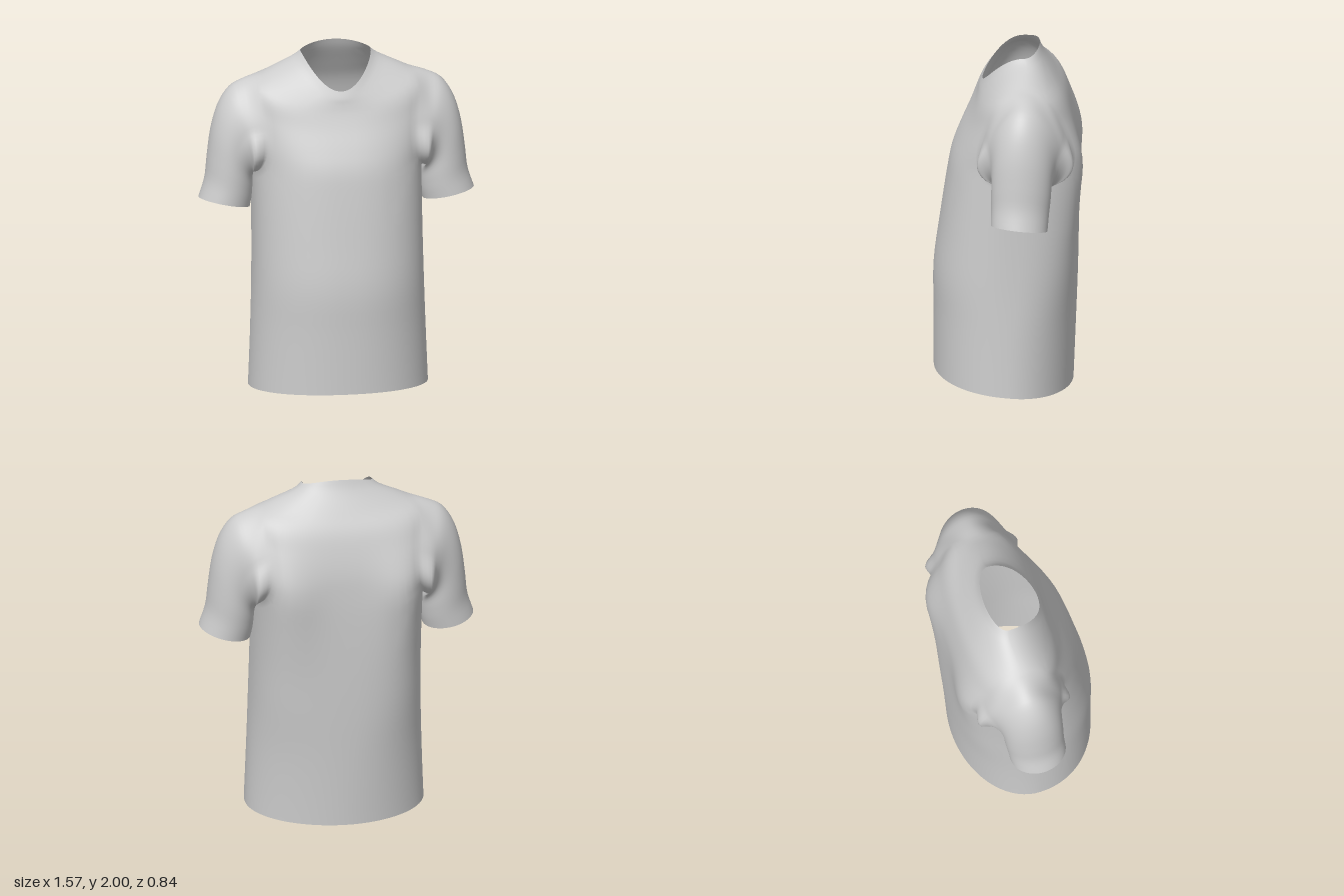
import * as THREE from 'three';

const COLS = 72, ROWS = 44, PER = 4;          // torso grid, rows per profile ring
const HALF = 8, LOW = 18, HIGH = 35;          // armhole: half width in columns, row range
const STEPS = 24;                             // rings along each sleeve

// torso rings, hem to neck: half width, centre z, front z, back z, y at front, side, back
const RINGS = [
  [0.51, 0, 0.42, -0.37, 0.08, 0.04, 0],
  [0.495, 0, 0.42, -0.385, 0.42, 0.40, 0.38],
  [0.485, 0, 0.42, -0.395, 0.68, 0.67, 0.66],
  [0.48, -0.02, 0.385, -0.40, 0.95, 0.95, 0.95],
  [0.48, -0.05, 0.345, -0.40, 1.22, 1.21, 1.22],
  [0.485, -0.07, 0.318, -0.395, 1.36, 1.36, 1.38],
  [0.51, -0.08, 0.275, -0.385, 1.47, 1.50, 1.50],
  [0.52, -0.08, 0.222, -0.36, 1.58, 1.66, 1.62],
  [0.50, -0.08, 0.188, -0.325, 1.66, 1.80, 1.73],
  [0.39, -0.085, 0.172, -0.27, 1.71, 1.865, 1.83],
  [0.25, -0.10, 0.163, -0.205, 1.745, 1.93, 1.94],
  [0.20, -0.09, 0.145, -0.18, 1.785, 1.967, 2.0],
];

// sleeve sections: outer x, y, inner x, y, centre z, half depth
const SECTIONS = [
  [0.52, 1.82, 0.49, 1.29, -0.088, 0.215],
  [0.60, 1.78, 0.485, 1.27, -0.085, 0.198],
  [0.665, 1.69, 0.48, 1.25, -0.08, 0.182],
  [0.71, 1.55, 0.478, 1.22, -0.075, 0.172],
  [0.735, 1.38, 0.48, 1.18, -0.07, 0.168],
  [0.75, 1.25, 0.485, 1.13, -0.065, 0.163],
  [0.785, 1.14, 0.495, 1.08, -0.06, 0.16],
];

// smooth interpolation of the ring table
function ringAt(v) {
  const n = RINGS.length - 1;
  v = THREE.MathUtils.clamp(v, 0, n);
  const i = Math.min(Math.floor(v), n - 1), f = v - i;
  const at = (k) => RINGS[THREE.MathUtils.clamp(k, 0, n)];
  return RINGS[0].map((_, c) => {
    const p0 = at(i - 1)[c], p1 = at(i)[c], p2 = at(i + 1)[c], p3 = at(i + 2)[c];
    const m1 = (p2 - p0) / 2, m2 = (p3 - p1) / 2, d = p1 - p2;
    return p1 + f * (m1 + f * (-3 * d - 2 * m1 - m2 + f * (2 * d + m1 + m2)));
  });
}

// round the rectangular armhole of the grid into an oval
function warp(d, row) {
  const mid = (LOW + HIGH) / 2, half = (HIGH - LOW) / 2;
  const u = d / HALF, w = (row - mid) / half;
  const k = Math.max(0, 1 - Math.max(0, Math.max(Math.abs(u), Math.abs(w)) - 1) / 0.6);
  const squeeze = (c) => 1 - k * (1 - Math.sqrt(1 - Math.min(1, c * c) / 2));
  const u2 = u * squeeze(w), w2 = w * squeeze(u);
  return { u: u2, w: w2, d: u2 * HALF, row: w2 * half + mid };
}

function torsoPoint(side, d, row) {
  const { smoothstep, lerp } = THREE.MathUtils;
  const p = warp(d, row), v = p.row / PER, t = (p.d / COLS) * Math.PI * 2;
  const [hw, zc, zf, zb, yf, ys, yb] = ringAt(v);
  const c = Math.max(0, Math.cos(t)), s = Math.abs(Math.sin(t)), front = t >= 0;
  // squareness: oval at the hem and neck, boxier at the chest
  const chest = lerp(front ? 0.93 : 1.02, front ? 0.84 : 0.81, smoothstep(v, 0, front ? 4.5 : 2.5));
  const e = lerp(chest, 1, smoothstep(v, 7.5, 10));
  const blade = front ? 0 : Math.exp(-(((v - 5) / 2.1) ** 2));
  // level tilt at the hem, rounded neckline at the top
  const rise = lerp(s, s * s, smoothstep(v, 1, 6));
  // shoulder blades stand out beside the hollow of the back
  const z = zc + ((front ? zf : zb) - zc) * Math.pow(s, e - 0.15 * blade)
    - 0.073 * blade * Math.sin(2 * t) ** 2;
  return new THREE.Vector3(side * hw * Math.pow(c, e), ys + ((front ? yf : yb) - ys) * rise, z);
}

// point on sleeve section k at angle a, where 0 is the front and a quarter turn the outside
function sleevePoint(side, k, a) {
  const [ox, oy, ix, iy, zc, hz] = SECTIONS[k];
  const s = Math.sin(a), c = Math.cos(a), fade = Math.max(0, 1 - k / 3);
  // narrow over the shoulder, full at the armpit and behind
  const egg = 1 + fade * (-0.3 * s + 0.55 * Math.max(0, -s) + (c < 0 ? 0.06 : 0));
  return new THREE.Vector3(
    side * ((ox + ix) / 2 + ((ox - ix) / 2) * s),
    (oy + iy) / 2 + ((oy - iy) / 2) * s + 0.018 * c * (k / 6),
    zc + hz * c * egg);
}

export function createModel() {
  const cloth = new THREE.MeshStandardMaterial({ color: 0xcccccc, side: THREE.DoubleSide });
  cloth.name = 'light grey cloth';

  const positions = [], body = [], collar = [];
  const add = (p) => positions.push(p.x, p.y, p.z) / 3 - 1;

  // torso vertices, column 0 at the left side, running round by the front
  const id = (row, col) => row * COLS + ((col + COLS) % COLS);
  for (let row = 0; row <= ROWS; row++) {
    for (let col = 0; col < COLS; col++) {
      const q = COLS / 4;
      const left = col <= q || col >= COLS - q;
      const d = left ? (col <= q ? col : col - COLS) : COLS / 2 - col;
      add(torsoPoint(left ? 1 : -1, d, row));
    }
  }

  // torso and collar faces, leaving the two armholes open
  for (let row = 0; row < ROWS; row++) {
    for (let col = 0; col < COLS; col++) {
      const inHole = (centre) => {
        const k = (col - centre + COLS + HALF) % COLS;
        return k < 2 * HALF && row >= LOW && row < HIGH;
      };
      if (inHole(0) || inHole(COLS / 2)) continue;
      const a = id(row, col), b = id(row, col + 1), c = id(row + 1, col + 1), e = id(row + 1, col);
      (row >= 10 * PER ? collar : body).push(a, e, c, a, c, b);
    }
  }

  // armhole edge as a loop of [column offset, row]
  const loop = [];
  for (let d = -HALF; d < HALF; d++) loop.push([d, LOW]);
  for (let r = LOW; r < HIGH; r++) loop.push([HALF, r]);
  for (let d = HALF; d > -HALF; d--) loop.push([d, HIGH]);
  for (let r = HIGH; r > LOW; r--) loop.push([-HALF, r]);

  // each sleeve grows out of its armhole edge
  const sleeve = (side) => {
    const index = [];
    const strands = loop.map(([d, row]) => {
      const { u, w } = warp(d, row);
      const points = SECTIONS.map((_, k) => sleevePoint(side, k, Math.atan2(w, u)));
      const curve = new THREE.CatmullRomCurve3([torsoPoint(side, d, row), ...points]);
      const ids = [id(row, side > 0 ? d : COLS / 2 - d)];
      for (let k = 1; k <= STEPS; k++) ids.push(add(curve.getPoint(k / STEPS)));
      return ids;
    });
    strands.forEach((s, m) => {
      const n = strands[(m + 1) % strands.length];
      for (let k = 0; k < STEPS; k++) {
        const a = s[k], b = s[k + 1], c = n[k + 1], e = n[k];
        if (side > 0) index.push(a, b, c, a, c, e);
        else index.push(a, c, b, a, e, c);
      }
    });
    return index;
  };
  const parts = { torso: body, collar, leftSleeve: sleeve(1), rightSleeve: sleeve(-1) };

  // shared normals keep the seams between the parts smooth
  const whole = new THREE.BufferGeometry();
  whole.setAttribute('position', new THREE.Float32BufferAttribute(positions, 3));
  whole.setIndex(Object.values(parts).flat());
  whole.computeVertexNormals();

  const shirt = new THREE.Group();
  shirt.name = 'shirt';
  for (const [name, index] of Object.entries(parts)) {
    const geometry = new THREE.BufferGeometry();
    geometry.setAttribute('position', whole.getAttribute('position'));
    geometry.setAttribute('normal', whole.getAttribute('normal'));
    geometry.setIndex(index);
    const mesh = new THREE.Mesh(geometry, cloth);
    mesh.name = name;
    shirt.add(mesh);
  }
  return shirt;
}
